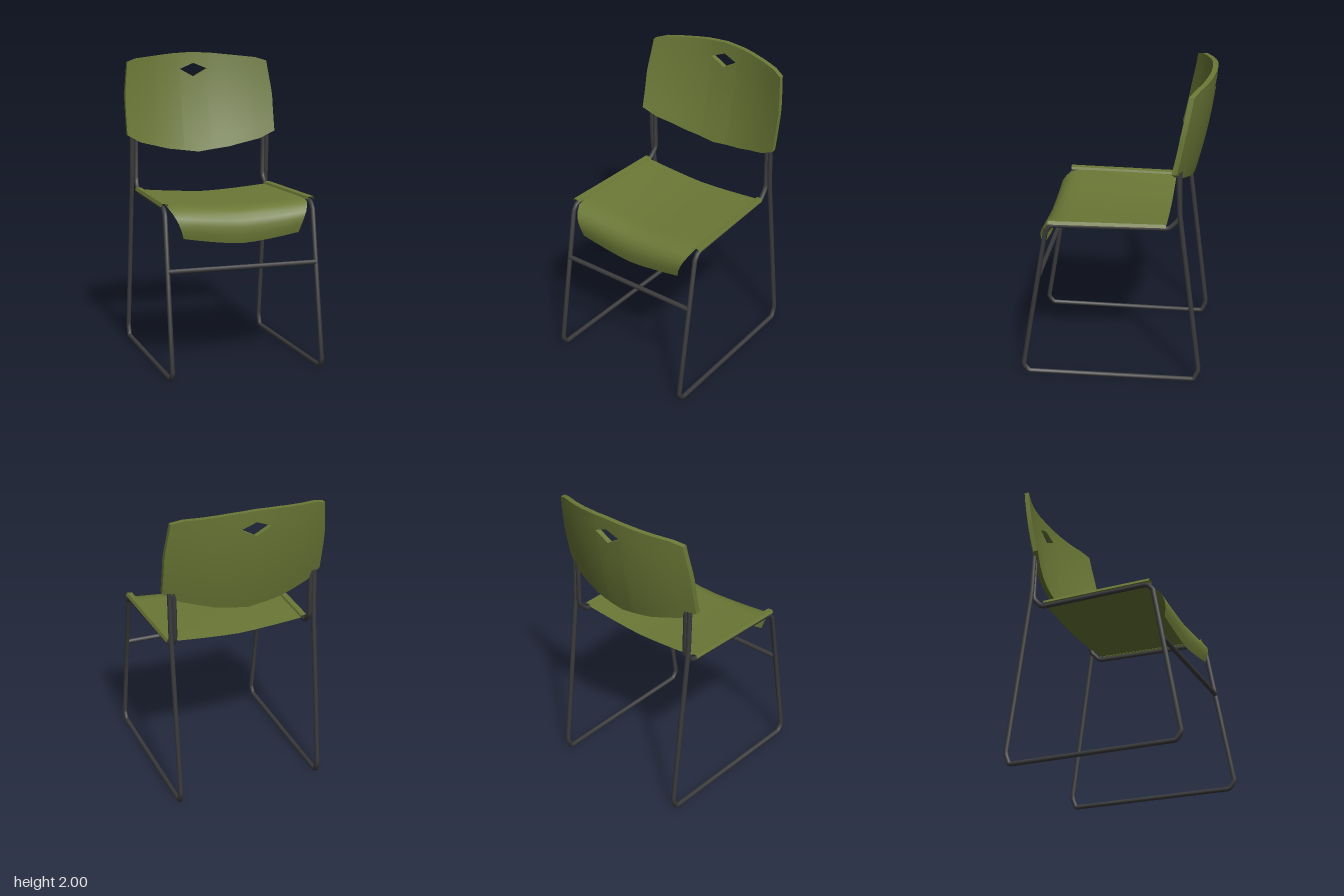
import * as THREE from 'three';
import { toCreasedNormals } from 'three/addons/utils/BufferGeometryUtils.js';

const shell = new THREE.MeshStandardMaterial({ color: 0x6b7836, side: THREE.DoubleSide });
shell.name = 'olive plastic';
const steel = new THREE.MeshStandardMaterial({ color: 0x3b3b3d });
steel.name = 'dark steel';

// Curve whose samples fall exactly on the given points, so bends stay crisp
class BentPath extends THREE.Curve {
  constructor(points) { super(); this.points = points; }
  getPointAt(u) {
    const n = this.points.length - 1, i = Math.min(Math.floor(u * n + 1e-6), n - 1);
    return this.points[i].clone().lerp(this.points[i + 1], u * n - i);
  }
  getPoint(t) { return this.getPointAt(t); }
  getTangentAt(u) {
    const p = this.points, n = p.length - 1, i = Math.round(u * n);
    const a = p[Math.max(i - 1, 0)], b = p[i], c = p[Math.min(i + 1, n)];
    const d = b.clone().sub(a).normalize().add(c.clone().sub(b).normalize());
    return d.normalize();
  }
}

function tube(name, coords, radius) {
  const pts = coords.map(c => new THREE.Vector3(...c));
  const mesh = new THREE.Mesh(new THREE.TubeGeometry(new BentPath(pts), pts.length - 1, radius, 8), steel);
  mesh.name = name;
  return mesh;
}

function addQuad(out, a, b, c, d) {
  for (const p of [a, b, c, a, c, d]) out.push(...p);
}

// Grid of quads through at(i, j)
function addGrid(out, nu, nv, at, flip = false) {
  for (let i = 0; i < nu; i++) for (let j = 0; j < nv; j++) {
    const q = [at(i, j), at(i + 1, j), at(i + 1, j + 1), at(i, j + 1)];
    addQuad(out, ...(flip ? q.reverse() : q));
  }
}

function meshFrom(name, out) {
  const g = new THREE.BufferGeometry();
  g.setAttribute('position', new THREE.Float32BufferAttribute(out, 3));
  const mesh = new THREE.Mesh(toCreasedNormals(g, 0.6), shell);
  mesh.name = name;
  return mesh;
}

// Piecewise linear lookup
function lookup(table, x) {
  for (let i = 1; i < table.length; i++) {
    const [x0, y0] = table[i - 1], [x1, y1] = table[i];
    if (x <= x1 + 1e-9) return y0 + (y1 - y0) * (x - x0) / (x1 - x0);
  }
  return table[table.length - 1][1];
}

// Curved backrest with a diamond handle hole
function backrest() {
  const top = x => lookup([[0, 2], [0.15, 1.992], [0.43, 1.963], [0.53, 1.94]], Math.abs(x));
  const bottom = x => lookup([[0, 1.315], [0.22, 1.345], [0.43, 1.4], [0.53, 1.455]], Math.abs(x));
  const holeTop = x => 1.885 + 0.04 * (1 - Math.abs(x) / 0.1);
  const holeBottom = x => 1.885 - 0.055 * (1 - Math.abs(x) / 0.1);
  const out = [], rows = 8, thick = 0.033;
  const point = (x, y, back) => {
    const s = y - 1.315;
    const px = Math.abs(x) > 0.5 ? x * (1 - 0.055 * Math.max(0, (y - 1.72) / 0.22)) : x;
    return [px, y, -0.455 - 0.294 * s + 0.163 * s * s + 0.46 * px * px - (back ? thick : 0)];
  };
  const slab = (xs, lo, hi, leftWall, rightWall) => {
    const n = xs.length - 1;
    const at = (i, j, back) => {
      const x = xs[i], a = lo(x), b = hi(x);
      return point(x, a + (b - a) * j / rows, back);
    };
    addGrid(out, n, rows, (i, j) => at(i, j, false));
    addGrid(out, n, rows, (i, j) => at(i, j, true), true);
    addGrid(out, n, 1, (i, k) => at(i, rows, k === 1));
    addGrid(out, n, 1, (i, k) => at(i, 0, k === 1), true);
    if (leftWall) addGrid(out, 1, rows, (k, j) => at(0, j, k === 0));
    if (rightWall) addGrid(out, 1, rows, (k, j) => at(n, j, k === 1));
  };
  const side = [0.1, 0.15, 0.22, 0.32, 0.43, 0.53];
  slab(side, bottom, top, false, true);
  slab(side.map(x => -x).reverse(), bottom, top, true, false);
  slab([-0.1, 0, 0.1], bottom, holeBottom, false, false);
  slab([-0.1, 0, 0.1], holeTop, top, false, false);
  return meshFrom('backrest', out);
}

// Seat panel, sagging across its width, with a lip rolled down at the front
function seatPanel() {
  // z, centre height, half width, rise at the sides
  const rows = [
    [0.462, 0.835, 0.385, 0.05], [0.474, 0.89, 0.4, 0.045], [0.475, 0.94, 0.418, 0.04],
    [0.464, 0.98, 0.435, 0.035], [0.44, 1.015, 0.45, 0.03], [0.405, 1.04, 0.465, 0.03],
    [0.36, 1.052, 0.466, 0.03], [0.3, 1.056, 0.464, 0.03], [-0.335, 1.056, 0.44, 0.03],
  ];
  const cols = 8, out = [];
  addGrid(out, cols, rows.length - 1, (i, j) => {
    const [z, y, w, rise] = rows[j], u = i / cols * 2 - 1;
    return [u * w, y + rise * Math.abs(u) ** 1.4, z];
  });
  return meshFrom('seatPanel', out);
}

// Raised flange folded over each seat rail
function seatFlange(side) {
  const section = [[0, 1.084], [0.007, 1.1], [0.04, 1.104], [0.05, 1.084]];
  const ends = [[0.41, 0.465], [-0.335, 0.44]];
  const out = [];
  addGrid(out, section.length - 1, 1, (i, j) => {
    const [z, x] = ends[j];
    return [side * (x + section[i][0]), section[i][1], z];
  }, side < 0);
  return meshFrom(side > 0 ? 'leftSeatFlange' : 'rightSeatFlange', out);
}

// One bent tube per side: back upright, seat rail, front leg, floor runner, rear leg
function sideFrame(side) {
  const path = [
    [0.46, 1.46, -0.412], [0.46, 1.16, -0.418], [0.461, 1.13, -0.408], [0.464, 1.08, -0.36],
    [0.465, 1.071, -0.335], [0.492, 1.071, 0.375], [0.493, 1.062, 0.4], [0.494, 1.025, 0.428],
    [0.5, 0.075, 0.595], [0.5, 0.055, 0.59], [0.5, 0.022, 0.565], [0.5, 0.016, 0.55],
    [0.49, 0.016, -0.52], [0.49, 0.022, -0.535], [0.49, 0.08, -0.557], [0.49, 0.105, -0.558],
    [0.488, 1.15, -0.423], [0.488, 1.2, -0.418], [0.488, 1.46, -0.408],
  ];
  return tube(side > 0 ? 'leftFrame' : 'rightFrame', path.map(([x, y, z]) => [side * x, y, z]), 0.016);
}

export function createModel() {
  const chair = new THREE.Group();
  chair.name = 'chair';
  chair.add(backrest(), seatPanel());
  for (const side of [1, -1]) chair.add(seatFlange(side), sideFrame(side));
  chair.add(tube('frontCrossbar', [[-0.495, 0.687, 0.49], [0.495, 0.687, 0.49]], 0.016));
  return chair;
}
